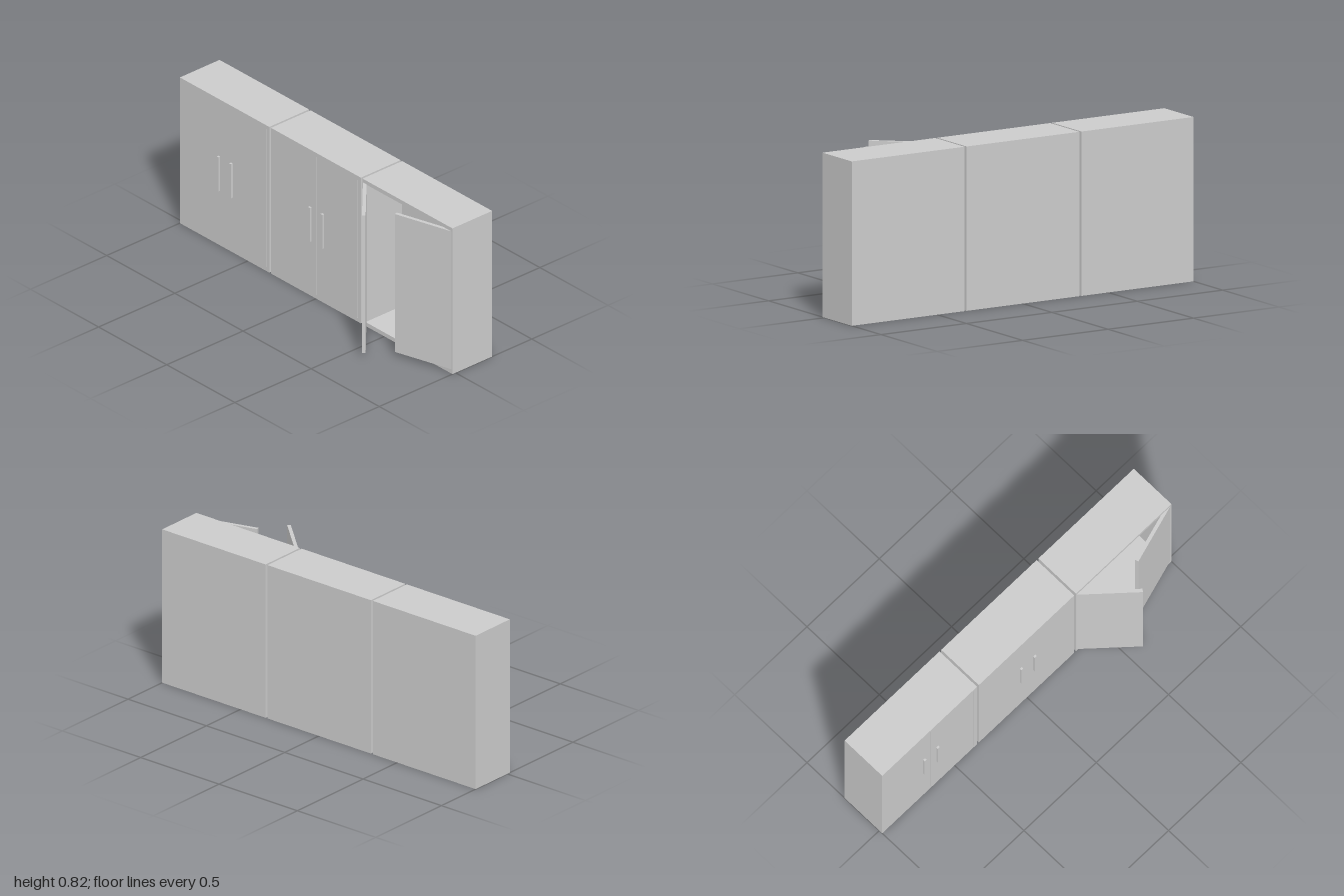
import * as THREE from 'three';

const H = 0.82, BACK = -0.24, FRONT = 0.02, T = 0.022;
const DOOR_Y0 = 0.024, DOOR_H = 0.776, DOOR_W = 0.325, DOOR_T = 0.018;
const material = new THREE.MeshStandardMaterial({ color: 0xcccccc, flatShading: true });

// Box given by its minimum and maximum corners
function box(name, x0, x1, y0, y1, z0, z1) {
  const geometry = new THREE.BoxGeometry(x1 - x0, y1 - y0, z1 - z0);
  geometry.translate((x0 + x1) / 2, (y0 + y1) / 2, (z0 + z1) / 2);
  const mesh = new THREE.Mesh(geometry, material);
  mesh.name = name;
  return mesh;
}

// Hollow carcass, open at the front
function carcass(x0, x1) {
  const g = new THREE.Group();
  g.name = 'carcass';
  g.add(
    box('rightSidePanel', x0, x0 + T, 0, H, BACK, FRONT),
    box('leftSidePanel', x1 - T, x1, 0, H, BACK, FRONT),
    box('bottomPanel', x0 + T, x1 - T, 0, T, BACK, FRONT),
    box('topPanel', x0 + T, x1 - T, H - T, H, BACK, FRONT),
    box('backPanel', x0 + T, x1 - T, T, H - T, BACK, BACK + T)
  );
  return g;
}

// Pair of flush doors with bar handles
function closedDoors(x0, x1) {
  const g = new THREE.Group();
  g.name = 'closedDoors';
  const mid = (x0 + x1) / 2 + 0.007, gap = 0.001;
  g.add(
    box('rightDoor', x0 + T, mid - gap, T, H - T, FRONT - DOOR_T, FRONT),
    box('leftDoor', mid + gap, x1 - T - gap, T, H - T, FRONT - DOOR_T, FRONT)
  );
  for (const side of [-1, 1]) {
    const x = mid + side * 0.046;
    g.add(box('handle', x - 0.007, x + 0.007, 0.308, 0.5, FRONT, FRONT + 0.011));
  }
  return g;
}

// Door swung about its front outer edge; dir is the way it extends when shut
function openDoor(name, hingeX, dir, degrees) {
  const door = box(name, Math.min(0, dir * DOOR_W), Math.max(0, dir * DOOR_W),
    DOOR_Y0, DOOR_Y0 + DOOR_H, -DOOR_T, 0);
  door.position.set(hingeX, 0, FRONT);
  door.rotation.y = -dir * THREE.MathUtils.degToRad(degrees);
  return door;
}

export function createModel() {
  const model = new THREE.Group();
  model.name = 'wallCabinets';
  const spans = [[-1, -0.344], [-0.332, 0.328], [0.34, 1]];
  spans.forEach(([x0, x1], i) => {
    const cabinet = new THREE.Group();
    cabinet.name = ['rightCabinet', 'middleCabinet', 'leftCabinet'][i];
    cabinet.add(carcass(x0, x1));
    if (i < 2) cabinet.add(closedDoors(x0, x1));
    else cabinet.add(
      openDoor('openRightDoor', x0 + 0.003, 1, 42.6),
      openDoor('openLeftDoor', x1 - 0.008, -1, 16.4)
    );
    model.add(cabinet);
  });
  return model;
}
